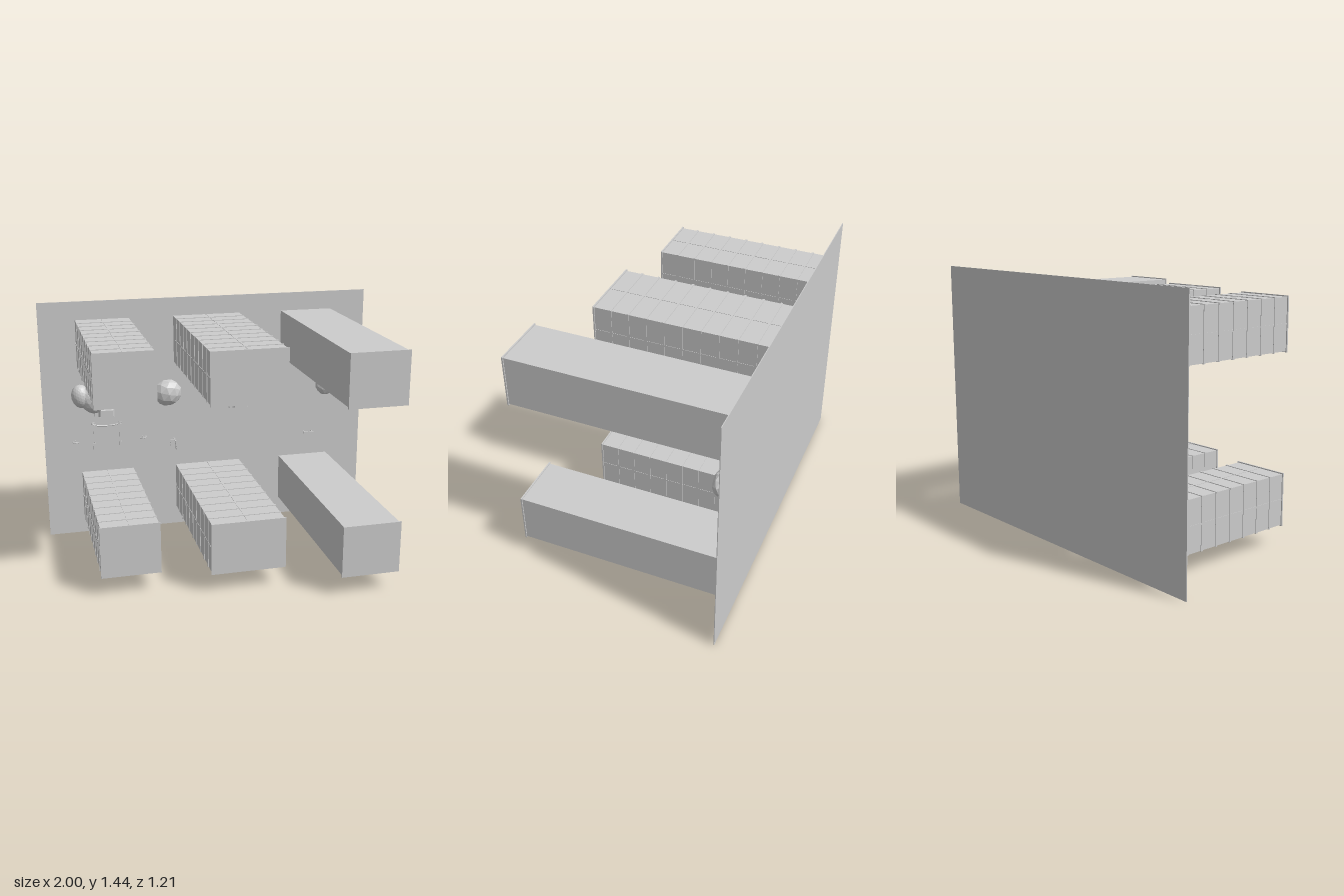
import * as THREE from 'three';

const WALL = -0.605; // ground plane of the upright city block

export function createModel() {
  const model = new THREE.Group();
  const grey = new THREE.MeshStandardMaterial({ color: 0xcccccc, flatShading: true });
  grey.name = 'light grey';
  grey.side = THREE.DoubleSide;

  const group = (name, parent = model) => {
    const g = new THREE.Group();
    g.name = name;
    parent.add(g);
    return g;
  };
  const add = (name, geometry, x, y, z, parent) => {
    const m = new THREE.Mesh(geometry, grey);
    m.name = name;
    m.position.set(x, y, z);
    parent.add(m);
    return m;
  };
  const box = (name, w, h, d, x, y, z, parent) =>
    add(name, new THREE.BoxGeometry(w, h, d), x, y, z, parent);
  // round bar standing out from the ground along z
  const pole = (name, r, z0, z1, x, y, parent) => {
    const m = add(name, new THREE.CylinderGeometry(r, r, z1 - z0, 8), x, y, (z0 + z1) / 2, parent);
    m.rotation.x = Math.PI / 2;
    return m;
  };
  const tube = (name, points, r, parent) =>
    add(name, new THREE.TubeGeometry(
      new THREE.CatmullRomCurve3(points.map(p => new THREE.Vector3(...p))), 12, r, 6), 0, 0, 0, parent);

  // ground slab
  box('ground', 2, 1.44, 0.004, 0, 0.72, WALL, model);

  // towers, with a rim at the tip and optional floor bands and mullions
  function tower(x, y, w, tip, banded) {
    const t = group('tower');
    const h = 0.28, depth = tip - WALL;
    t.position.set(x, y, 0);
    box('towerBody', w, h, depth - 0.002, 0, 0, (tip + WALL) / 2 - 0.001, t);
    box('roofRim', w + 0.012, h + 0.012, 0.008, 0, 0, tip - 0.004, t);
    if (!banded) return;
    for (let z = tip - 0.1; z > WALL + 0.03; z -= 0.1)
      box('floorBand', w + 0.007, h + 0.007, 0.012, 0, 0, z, t);
    box('mullionAcross', w + 0.004, 0.01, depth - 0.01, 0, 0, (tip + WALL) / 2, t);
    box('mullionUp', 0.01, h + 0.004, depth - 0.01, 0, 0, (tip + WALL) / 2, t);
  }
  for (const y of [0.254, 1.191]) {
    tower(-0.628, y, 0.315, 0.302, true);
    tower(-0.002, y, 0.405, 0.402, true);
    tower(0.622, y, 0.315, 0.605, false);
  }

  // trees: faceted crowns on short trunks
  function crown(x, y, z, rx, ry, rz, tilt, detail, parent) {
    const m = add('crown', new THREE.IcosahedronGeometry(1, detail), x, y, z, parent);
    m.scale.set(rx, ry, rz);
    m.rotation.z = tilt;
  }
  const trees = [
    [[-0.782, 0.905, -0.482, 0.056, 0.071, 0.05, 0.2, 3], [-0.725, 0.882, -0.482, 0.066, 0.09, 0.055, 0.5, 2]],
    [[-0.265, 0.888, -0.505, 0.086, 0.081, 0.06, 0.3, 1]],
    [[0.237, 0.902, -0.488, 0.071, 0.066, 0.052, 0.4, 2], [0.272, 0.868, -0.505, 0.054, 0.054, 0.038, 0.7, 1]],
    [[0.737, 0.874, -0.52, 0.067, 0.07, 0.036, 0.2, 1]],
  ];
  for (const blobs of trees) {
    const t = group('tree');
    for (const b of blobs) crown(...b, t);
    const last = blobs[blobs.length - 1];
    pole('trunk', 0.008, WALL, -0.5, last[0], 0.88, t);
  }

  // cars: body with a smaller cabin and four wheels
  function car(x) {
    const c = group('car');
    c.position.set(x, 0.77, WALL);
    box('carBody', 0.138, 0.05, 0.026, 0, 0, 0.024, c);
    const cabin = new THREE.CylinderGeometry(0.7071, 0.9, 1, 4).rotateY(Math.PI / 4).rotateX(Math.PI / 2);
    const top = add('cabin', cabin, 0, 0, 0.047, c);
    top.scale.set(0.075, 0.037, 0.02);
    for (const sx of [-1, 1]) for (const sy of [-1, 1])
      add('wheel', new THREE.CylinderGeometry(0.013, 0.013, 0.01, 12), sx * 0.042, sy * 0.025, 0.014, c);
  }
  car(-0.628);
  car(0.2);

  // double-armed street lamps
  function lamp(x, y, tilt) {
    const l = group('streetLamp');
    l.position.set(x, y, 0);
    l.rotation.z = tilt;
    pole('lampPole', 0.003, WALL, -0.553, 0, 0, l);
    tube('lampArms', [[-0.02, 0, -0.572], [-0.012, 0, -0.56], [0, 0, -0.556], [0.012, 0, -0.56], [0.02, 0, -0.572]], 0.003, l);
    for (const s of [-1, 1]) box('lampHead', 0.008, 0.008, 0.006, s * 0.019, 0, -0.573, l);
  }
  lamp(-0.818, 0.597, 0);
  lamp(-0.41, 0.597, 0.2);

  // gantry: two posts, a curved rail and two long arms with end blocks
  const gantry = group('gantry');
  tube('curvedRail', [[-0.72, 0.707, -0.565], [-0.69, 0.695, -0.565], [-0.63, 0.69, -0.565],
    [-0.57, 0.695, -0.565], [-0.54, 0.707, -0.565]], 0.004, gantry);
  for (const x of [-0.706, -0.55]) {
    pole('gantryPost', 0.004, WALL, -0.535, x, 0.697, gantry);
    box('gantryArm', 0.007, 0.13, 0.008, x, 0.64, -0.565, gantry);
    box('armEnd', 0.016, 0.04, 0.016, x, 0.565, -0.565, gantry);
    for (const z of [-0.537, -0.598]) box('postCollar', 0.012, 0.02, 0.004, x, 0.697, z, gantry);
  }

  // small signal post with a leaning panel
  const signal = group('signalPost');
  pole('signalStem', 0.004, WALL, -0.545, -0.212, 0.53, signal);
  box('signalPanel', 0.036, 0.045, 0.008, -0.226, 0.549, -0.562, signal).rotation.z = 0.15;
  box('signalSide', 0.006, 0.045, 0.07, -0.212, 0.548, -0.567, signal).rotation.z = 0.15;
  box('signalFoot', 0.006, 0.028, 0.036, -0.208, 0.518, -0.565, signal).rotation.z = 0.25;

  // bench
  const bench = group('bench');
  box('benchSeat', 0.064, 0.01, 0.008, 0.652, 0.546, -0.57, bench);
  for (const s of [-1, 1]) box('benchLeg', 0.006, 0.008, 0.034, 0.652 + s * 0.024, 0.546, -0.588, bench);

  return model;
}
